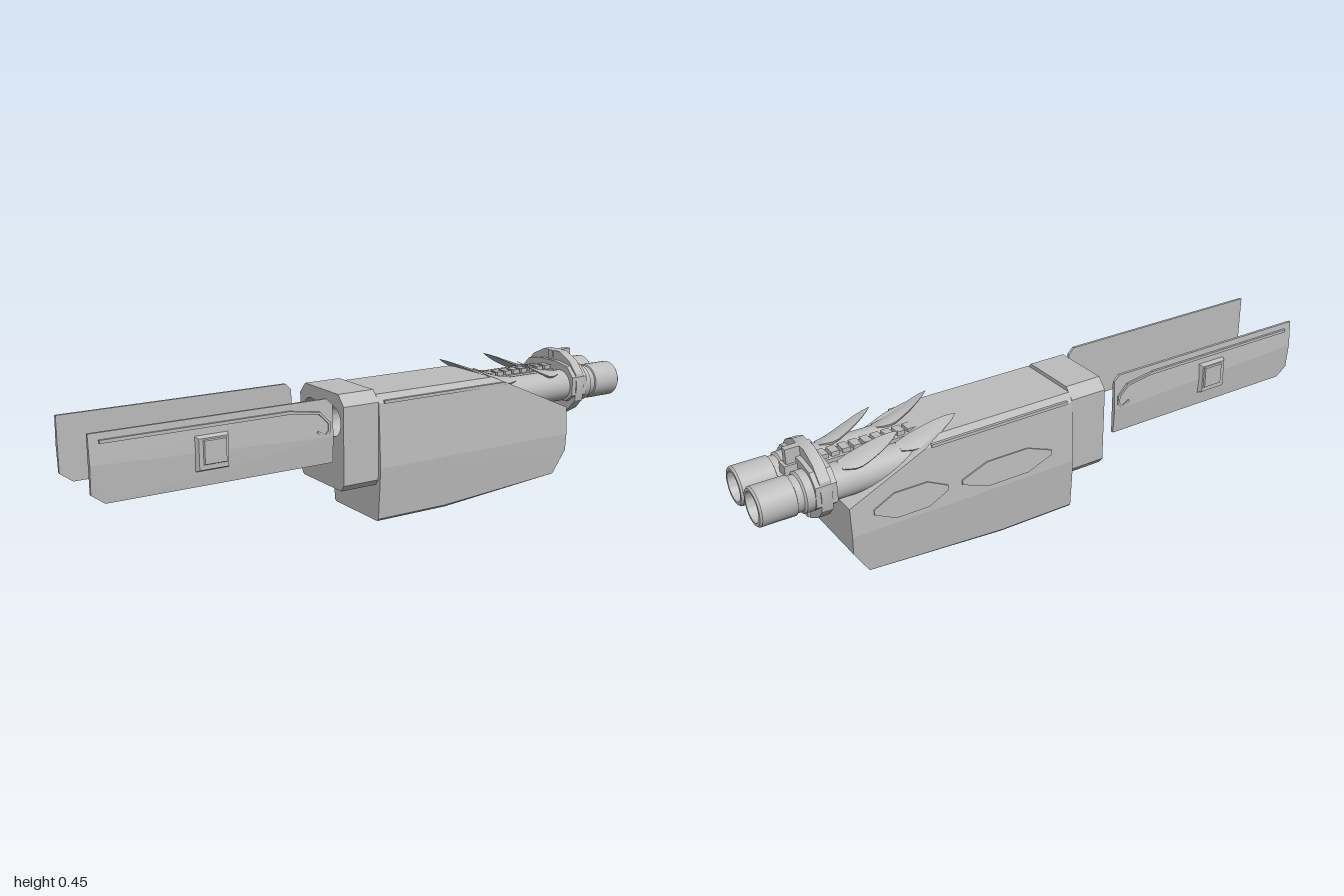
import * as THREE from 'three';
import { toCreasedNormals } from 'three/addons/utils/BufferGeometryUtils.js';
import { ConvexGeometry } from 'three/addons/geometries/ConvexGeometry.js';

const AXIS_Y = 0.338, BARREL_Z = 0.067;

export function createModel() {
  const grey = new THREE.MeshStandardMaterial({ color: 0xbdbdbd });
  const root = new THREE.Group();

  const add = (parent, name, geo, x = 0, y = 0, z = 0) => {
    const m = new THREE.Mesh(geo, grey);
    m.name = name;
    m.position.set(x, y, z);
    parent.add(m);
    return m;
  };
  // box given by its limits
  const box = (parent, name, x0, x1, y0, y1, z0, z1) =>
    add(parent, name, new THREE.BoxGeometry(x1 - x0, y1 - y0, z1 - z0), (x0 + x1) / 2, (y0 + y1) / 2, (z0 + z1) / 2);
  const hull = pts => new ConvexGeometry(pts.map(p => new THREE.Vector3(...p)));
  const poly = pts => new THREE.Shape(pts.map(p => new THREE.Vector2(...p)));
  // symmetric outline of half points (z, y), extruded along x with optional round holes
  const extrudeX = (half, x0, x1, holeR = 0) => {
    const s = poly([...half, ...half.slice().reverse().map(([z, y]) => [-z, y])]);
    if (holeR) for (const side of [-1, 1]) {
      const h = new THREE.Path();
      h.absarc(side * 0.064, AXIS_Y, holeR, 0, Math.PI * 2, true);
      s.holes.push(h);
    }
    const g = new THREE.ExtrudeGeometry(s, { depth: x1 - x0, bevelEnabled: false, curveSegments: 24 });
    g.rotateY(Math.PI / 2).translate(x0, 0, 0);
    return toCreasedNormals(g, 0.5);
  };

  // main housing, widest along a ridge at y 0.18
  const outline = [
    [-0.05, 0, 0.125], [0.22, 0, 0.125], [-0.05, 0.008, 0.132], [0.22, 0.008, 0.132],
    [0.69, 0.04, 0.134], [0.74, 0.12, 0.14], [0.74, 0.18, 0.144], [-0.05, 0.18, 0.144],
    [0.74, 0.275, 0.139], [0.48, 0.39, 0.133], [-0.05, 0.39, 0.133],
    [0.42, 0.417, 0.115], [-0.05, 0.417, 0.115]
  ];
  add(root, 'housing', hull(outline.flatMap(([x, y, z]) => [[x, y, z], [x, y, -z]])));

  // rear block with two round sockets
  add(root, 'rearBlock', extrudeX(
    [[0.115, 0.12], [0.13, 0.14], [0.132, 0.395], [0.1, 0.43]], -0.18, -0.05, 0.05));

  // inset-looking panels on the back face of the housing
  for (const x of [0.54, 0.2]) {
    const w = x > 0.4 ? 0.125 : 0.165;
    const g = new THREE.ExtrudeGeometry(poly([
      [-w, -0.008], [-w * 0.45, -0.042], [w * 0.45, -0.042],
      [w, -0.008], [w, 0.008], [w * 0.45, 0.042], [-w * 0.45, 0.042], [-w, 0.008]
    ]), { depth: 0.007, bevelEnabled: false });
    add(root, 'sidePanel', g.translate(0, 0, -0.0035), x, 0.24, -0.142).rotation.x = 0.053;
  }

  // barrels with flange and open bore
  const profile = [
    [0.055, 0.4], [0.055, 0.82], [0.064, 0.825], [0.064, 0.86], [0.056, 0.865], [0.056, 0.885],
    [0.061, 0.887], [0.061, 0.994], [0.056, 1], [0.047, 1], [0.045, 0.992], [0.045, 0.89], [0, 0.89]
  ].map(p => new THREE.Vector2(...p));
  for (const side of [-1, 1]) {
    const g = new THREE.LatheGeometry(profile, 28).rotateZ(-Math.PI / 2);
    add(root, 'barrel', toCreasedNormals(g.toNonIndexed(), 0.6), 0, AXIS_Y, side * BARREL_Z);
  }

  // collar clamp around the barrels
  add(root, 'collar', extrudeX([
    [0.04, 0.222], [0.1, 0.256], [0.13, 0.29], [0.138, 0.34], [0.13, 0.385], [0.095, 0.425], [0.04, 0.452]
  ], 0.785, 0.82));
  add(root, 'collarBand', extrudeX([
    [0.04, 0.285], [0.1, 0.285], [0.133, 0.31], [0.133, 0.375], [0.1, 0.41], [0.04, 0.42]
  ], 0.768, 0.835));
  box(root, 'collarCrest', 0.78, 0.865, 0.4, 0.452, -0.011, 0.011);
  box(root, 'collarKey', 0.82, 0.875, 0.37, 0.404, -0.02, 0.02);
  box(root, 'collarFoot', 0.782, 0.828, 0.228, 0.262, -0.04, 0.04);

  // segmented strip between the barrels
  box(root, 'spine', 0.42, 0.78, 0.32, 0.39, -0.03, 0.03);
  for (let i = 0; i < 9; i++) {
    const x = 0.45 + i * 0.036;
    box(root, 'spineSlat', x, x + 0.026, 0.388, 0.404, -0.02, 0.02);
  }

  // claw-shaped fin: curved shell around the barrel, rising to a point at the rear
  const fin = (xRoot, xTip) => {
    const N = 10, M = 6, pos = [], idx = [], L = 2 * (M + 1);
    for (let i = 0; i <= N; i++) {
      const u = i / N, r = 0.058 + 0.058 * u ** 1.3;
      const half = 0.75 * Math.min(1, 0.5 + 2 * u) * (1 - u) ** 0.8;
      for (let k = 0; k < L; k++) {
        const outer = k <= M, t = (outer ? k : L - 1 - k) / M * 2 - 1;
        const a = 0.2 + half * t, rr = outer ? r : r - 0.012 * (1 - u);
        // edges of the claw trail behind its centre
        pos.push(xRoot + (xTip - xRoot) * u + 0.02 * t * t * (1 - u), rr * Math.cos(a), rr * Math.sin(a));
      }
    }
    for (let i = 0; i < N; i++) for (let k = 0; k < L; k++) {
      const a = i * L + k, b = i * L + (k + 1) % L;
      idx.push(a, b, a + L, b, b + L, a + L);
    }
    for (let k = 1; k < L - 1; k++) idx.push(0, k + 1, k);
    const g = new THREE.BufferGeometry();
    g.setAttribute('position', new THREE.Float32BufferAttribute(pos, 3));
    g.setIndex(idx);
    // reversed winding so that the outer shell faces up
    const p = g.toNonIndexed(), n = p.attributes.position;
    const e = [0, 1, 2].map(i => new THREE.Vector3().fromBufferAttribute(n, 3 * 6 + i));
    const up = e[1].clone().sub(e[0]).cross(e[2].clone().sub(e[0])).y;
    if (up < 0) {
      for (let i = 0; i < idx.length; i += 3) [idx[i + 1], idx[i + 2]] = [idx[i + 2], idx[i + 1]];
      g.setIndex(idx);
    }
    return toCreasedNormals(g.toNonIndexed(), 0.7);
  };

  // one side: rail, fins and floating rear plate; then its mirror image
  for (const side of [1, -1]) {
    const half = new THREE.Group();
    half.name = side > 0 ? 'frontSide' : 'backSide';
    half.scale.z = side;
    root.add(half);

    box(half, 'housingRail', -0.03, 0.46, 0.388, 0.398, 0.12, 0.137);
    add(half, 'rearFin', fin(0.52, 0.35), 0, AXIS_Y, BARREL_Z);
    add(half, 'frontFin', fin(0.71, 0.545), 0, AXIS_Y, BARREL_Z);

    // plate with a slight crease along its length
    const edge = [[-1, 0.43], [-0.24, 0.43], [-0.22, 0.41], [-0.22, 0.225], [-0.96, 0.225], [-1, 0.255]];
    add(half, 'rearPlate', hull([
      ...edge.flatMap(([x, y]) => [[x, y, 0.121], [x, y, 0.13]]), [-1, 0.34, 0.136], [-0.22, 0.31, 0.136]
    ]));
    box(half, 'plateRail', -0.97, -0.37, 0.4, 0.41, 0.128, 0.139);

    // bent rib at the front of the plate
    const rib = [[-0.37, 0.405], [-0.27, 0.39], [-0.235, 0.355], [-0.235, 0.33], [-0.25, 0.315], [-0.275, 0.33]];
    for (let i = 1; i < rib.length; i++) {
      const [x0, y0] = rib[i - 1], [x1, y1] = rib[i];
      const g = new THREE.BoxGeometry(Math.hypot(x1 - x0, y1 - y0) + 0.005, 0.008, 0.01);
      add(half, 'plateRib', g, (x0 + x1) / 2, (y0 + y1) / 2, 0.134).rotation.z = Math.atan2(y1 - y0, x1 - x0);
    }

    // square boss with bevelled rim
    const frustum = (w0, w1, d) => {
      const g = new THREE.CylinderGeometry(w1 * Math.SQRT1_2, w0 * Math.SQRT1_2, d, 4, 1).toNonIndexed();
      g.rotateY(Math.PI / 4).rotateX(Math.PI / 2).computeVertexNormals();
      return g;
    };
    add(half, 'bossBase', frustum(0.108, 0.094, 0.016), -0.632, 0.325, 0.14);
    add(half, 'bossCap', frustum(0.08, 0.07, 0.01), -0.628, 0.33, 0.148);
  }
  return root;
}
